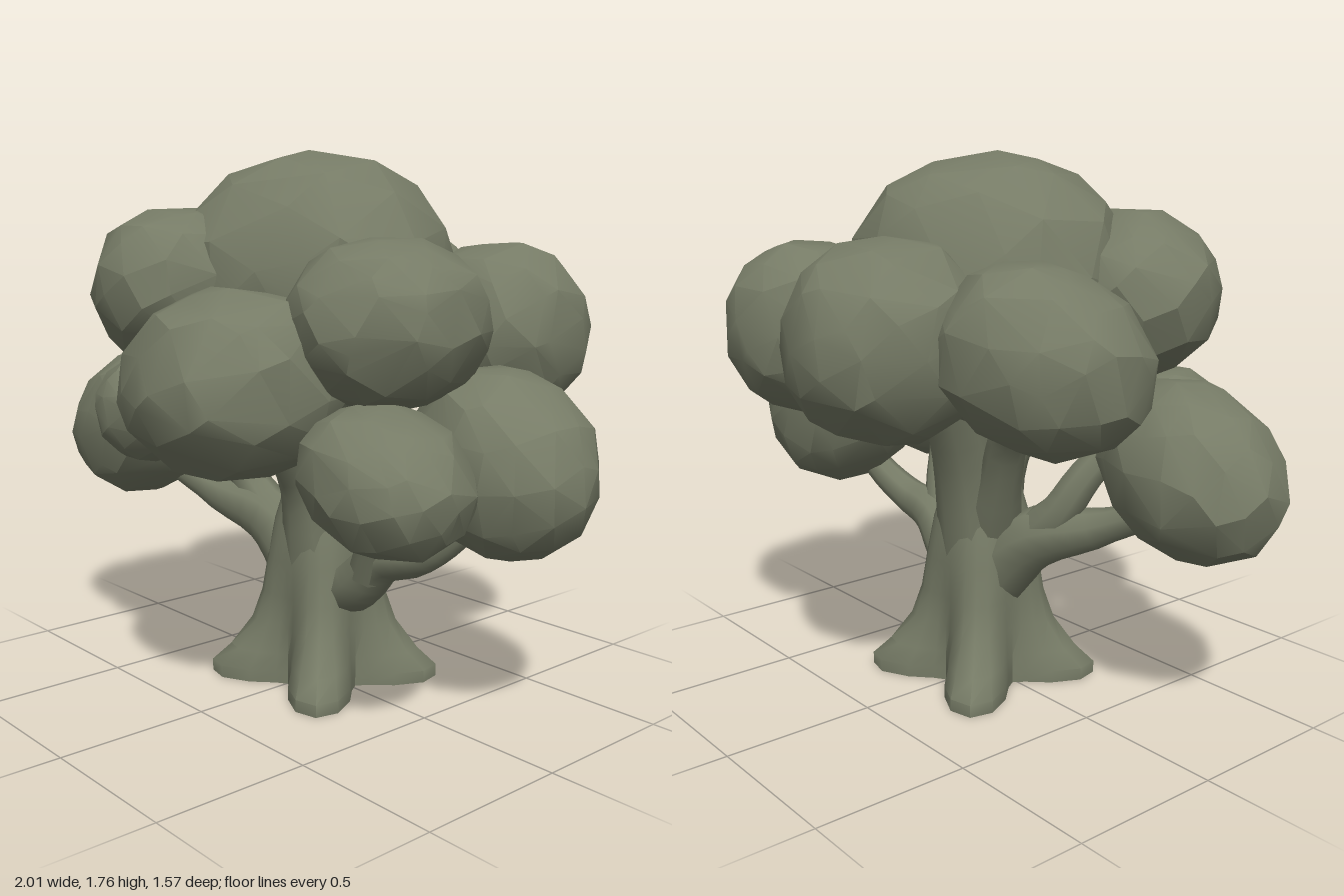
import * as THREE from 'three';
import { toCreasedNormals } from 'three/addons/utils/BufferGeometryUtils.js';
import { ConvexGeometry } from 'three/addons/geometries/ConvexGeometry.js';

const V = (a) => new THREE.Vector3(...a);

function seeded(seed) {
  let s = seed * 7919 + 17;
  return () => (s = (s * 16807) % 2147483647) / 2147483647;
}

// Faceted clump of leaves: hull of unevenly spaced points on a slightly squared ellipsoid
function clumpGeometry(radii, seed) {
  const rand = seeded(seed), points = [], count = 76, e = 2.16;
  for (let i = 0; i < count; i++) {
    const y = 1 - (2 * (i + 0.5)) / count;
    const a = i * 2.39996 + seed;
    const r = Math.sqrt(1 - y * y);
    const p = new THREE.Vector3(Math.cos(a) * r, y, Math.sin(a) * r);
    p.add(new THREE.Vector3(rand() - 0.5, rand() - 0.5, rand() - 0.5).multiplyScalar(0.24)).normalize();
    const k = (Math.abs(p.x) ** e + Math.abs(p.y) ** e + Math.abs(p.z) ** e) ** (-1 / e);
    points.push(p.multiplyScalar(k * (0.99 + rand() * 0.035)).multiply(V(radii)));
  }
  return toCreasedNormals(new ConvexGeometry(points), 0.45);
}

// Tapered limb along a smooth path; each stop is [x, y, z, radius]
function limbGeometry(stops) {
  const curve = new THREE.CatmullRomCurve3(stops.map((s) => V(s.slice(0, 3))));
  const rings = stops.length * 3, sides = 8;
  const geo = new THREE.TubeGeometry(curve, rings, 1, sides);
  const pos = geo.attributes.position, v = new THREE.Vector3();
  for (let i = 0; i <= rings; i++) {
    const c = curve.getPointAt(i / rings);
    const t = (i / rings) * (stops.length - 1);
    const k = Math.min(Math.floor(t), stops.length - 2);
    const r = THREE.MathUtils.lerp(stops[k][3], stops[k + 1][3], t - k);
    for (let j = 0; j <= sides; j++) {
      const n = i * (sides + 1) + j;
      v.fromBufferAttribute(pos, n).sub(c).multiplyScalar(r).add(c);
      pos.setXYZ(n, v.x, v.y, v.z);
    }
  }
  geo.computeVertexNormals();
  return toCreasedNormals(geo, 0.9);
}

// Trunk lofted from cross-sections that spread into four diagonal roots
function trunkGeometry() {
  // height, radius between roots, radius along roots
  const rows = [
    [0, 0.16, 0.385], [0.04, 0.16, 0.385], [0.1, 0.16, 0.32], [0.2, 0.16, 0.245],
    [0.3, 0.16, 0.21], [0.42, 0.165, 0.19], [0.55, 0.15, 0.165], [0.7, 0.115, 0.12], [0.85, 0.1, 0.1],
  ];
  const sides = 32, pos = [], index = [];
  for (const [y, valley, root] of rows) {
    for (let j = 0; j < sides; j++) {
      const a = (j / sides) * Math.PI * 2;
      const r = valley + (root - valley) * Math.abs(Math.sin(2 * a)) ** 2.2;
      pos.push(Math.cos(a) * r + 0.005, y, Math.sin(a) * r - 0.015);
    }
  }
  for (let i = 0; i < rows.length - 1; i++) {
    for (let j = 0; j < sides; j++) {
      const a = i * sides + j, b = i * sides + ((j + 1) % sides);
      index.push(a, a + sides, b, b, a + sides, b + sides);
    }
  }
  // underside
  const c = pos.length / 3;
  pos.push(0, 0, -0.015);
  for (let j = 0; j < sides; j++) index.push(c, j, (j + 1) % sides);
  const geo = new THREE.BufferGeometry();
  geo.setAttribute('position', new THREE.Float32BufferAttribute(pos, 3));
  geo.setIndex(index);
  return toCreasedNormals(geo, 0.8);
}

export function createModel() {
  const tree = new THREE.Group();
  tree.name = 'tree';
  const olive = new THREE.MeshStandardMaterial({ color: 0x767b66 });
  olive.name = 'olive';

  const add = (name, geo, parent = tree, at = [0, 0, 0], tilt = 0, yaw = 0) => {
    const mesh = new THREE.Mesh(geo, olive);
    mesh.name = name;
    mesh.position.set(...at);
    mesh.rotation.set(0, yaw, tilt);
    parent.add(mesh);
  };

  add('trunk', trunkGeometry());

  // Limbs
  const limbs = new THREE.Group();
  limbs.name = 'branches';
  tree.add(limbs);
  const branches = {
    centreBranch: [[0.02, 0.5, 0, 0.13], [0.03, 0.75, 0, 0.11], [0.02, 1.1, 0, 0.1]],
    frontBranch: [[0.03, 0.42, 0.03, 0.12], [0.05, 0.7, 0.1, 0.09], [0.08, 0.95, 0.28, 0.08]],
    backBranch: [[0, 0.4, -0.03, 0.14], [-0.03, 0.75, -0.11, 0.11], [-0.1, 1.08, -0.25, 0.085]],
    leftBranch: [[-0.04, 0.36, 0, 0.13], [-0.21, 0.52, 0.03, 0.1], [-0.42, 0.59, 0.11, 0.055], [-0.7, 0.72, 0.2, 0.04]],
    leftFork: [[-0.18, 0.5, 0.03, 0.09], [-0.31, 0.63, 0.05, 0.065], [-0.37, 0.75, 0.1, 0.055], [-0.45, 0.93, 0.25, 0.05]],
    leftBackBranch: [[-0.04, 0.5, -0.02, 0.11], [-0.15, 0.7, -0.07, 0.07], [-0.24, 0.88, -0.11, 0.06], [-0.45, 1.1, -0.2, 0.05]],
    rightBranch: [[0.06, 0.32, 0, 0.08], [0.2, 0.37, 0.01, 0.09], [0.33, 0.48, 0.02, 0.075], [0.47, 0.52, 0.01, 0.06], [0.58, 0.6, -0.03, 0.05], [0.7, 0.75, -0.08, 0.04]],
    rightFork: [[0.28, 0.43, 0.03, 0.07], [0.35, 0.58, 0.07, 0.055], [0.4, 0.7, 0.12, 0.05], [0.52, 0.82, 0.2, 0.04]],
  };
  for (const [name, stops] of Object.entries(branches)) add(name, limbGeometry(stops), limbs);

  // Foliage: centre, radii, tilt and yaw of each clump
  const foliage = new THREE.Group();
  foliage.name = 'foliage';
  tree.add(foliage);
  const clumps = {
    crownClump: [[-0.02, 1.35, 0], [0.455, 0.405, 0.42], 0, 0.6],
    frontClump: [[0.13, 1.06, 0.45], [0.35, 0.29, 0.33], 0.1],
    frontLeftClump: [[-0.32, 1.32, 0.33], [0.36, 0.265, 0.285], 0.1, -0.65],
    lowLeftClump: [[-0.705, 0.82, 0.22], [0.315, 0.25, 0.245], 0.5],
    smallClump: [[-0.45, 0.91, 0.37], [0.185, 0.18, 0.18]],
    backLeftClump: [[-0.54, 1.185, -0.235], [0.325, 0.265, 0.275], 0.4, 0.5],
    backClump: [[-0.12, 1.21, -0.48], [0.305, 0.31, 0.31]],
    backRightClump: [[0.41, 1.19, -0.415], [0.285, 0.285, 0.28]],
    upperRightClump: [[0.47, 1.245, 0.15], [0.29, 0.25, 0.31]],
    outerRightClump: [[0.7, 0.835, -0.11], [0.31, 0.265, 0.26], -0.6],
    lowRightClump: [[0.605, 0.82, 0.28], [0.27, 0.205, 0.24], -0.35],
    innerClump: [[0, 1.08, 0], [0.42, 0.21, 0.32]],
  };
  Object.entries(clumps).forEach(([name, [at, radii, tilt, yaw]], i) => {
    add(name, clumpGeometry(radii, i + 1), foliage, at, tilt, yaw);
  });
  return tree;
}
